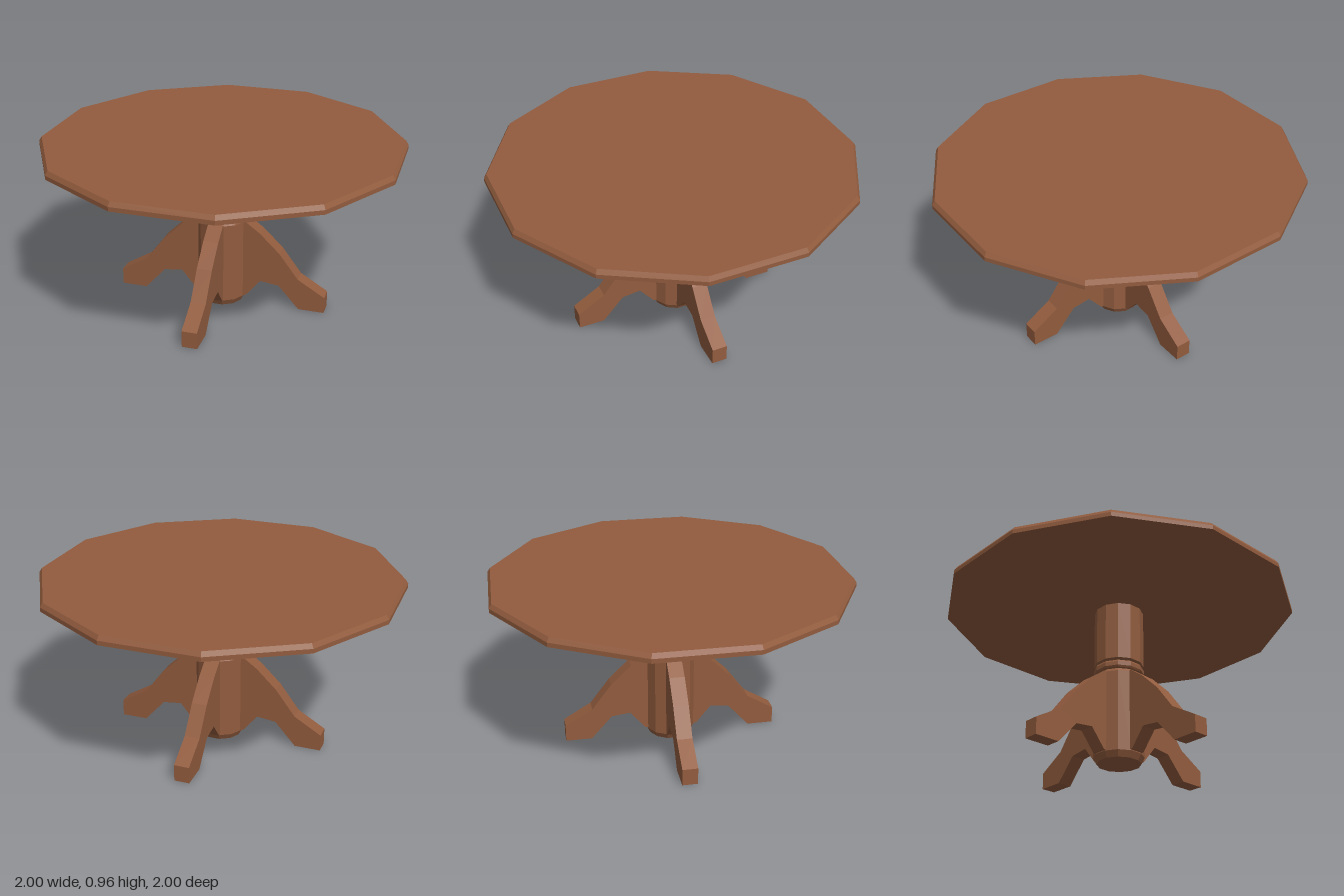
import * as THREE from 'three';

const SIDES = 12;

// Faceted turned part from [radius, y] points, listed bottom to top
function turned(name, profile, material) {
  const points = profile.map(([r, y]) => new THREE.Vector2(r, y));
  const geometry = new THREE.LatheGeometry(points, SIDES).toNonIndexed();
  geometry.computeVertexNormals();
  const mesh = new THREE.Mesh(geometry, material);
  mesh.name = name;
  return mesh;
}

export function createModel() {
  const table = new THREE.Group();
  table.name = 'pedestalTable';
  const wood = new THREE.MeshStandardMaterial({ color: 0x925c3e });
  wood.name = 'brown wood';

  // Twelve-sided top with a chamfered edge and a shallow underside recess
  table.add(turned('tableTop', [
    [0, 0.922], [0.9, 0.922], [1, 0.915], [1, 0.938], [0.985, 0.961], [0, 0.961],
  ], wood));

  // Column with a bevelled foot and a turned collar
  table.add(turned('column', [
    [0, 0], [0.122, 0], [0.14, 0.035], [0.14, 0.5], [0.128, 0.518],
    [0.136, 0.522], [0.142, 0.532], [0.142, 0.555], [0.136, 0.565],
    [0.128, 0.568], [0.14, 0.58], [0.14, 0.925],
  ], wood));

  // Four diagonal legs: outline as [distance from the axis, height]
  const outline = [
    [0.05, 0.04], [0.148, 0.04], [0.233, 0.145], [0.34, 0.132], [0.458, 0],
    [0.604, 0], [0.604, 0.095], [0.45, 0.187], [0.34, 0.333],
    [0.226, 0.443], [0.14, 0.505], [0.05, 0.505],
  ];
  const width = 0.085;
  const shape = new THREE.Shape(outline.map(([r, y]) => new THREE.Vector2(r, y)));
  const legGeometry = new THREE.ExtrudeGeometry(shape, { depth: width, bevelEnabled: false });
  legGeometry.translate(0, 0, -width / 2);

  ['backLeftLeg', 'backRightLeg', 'frontRightLeg', 'frontLeftLeg'].forEach((name, i) => {
    const leg = new THREE.Mesh(legGeometry, wood);
    leg.name = name;
    leg.rotation.y = Math.PI / 4 + i * Math.PI / 2;
    table.add(leg);
  });

  return table;
}
